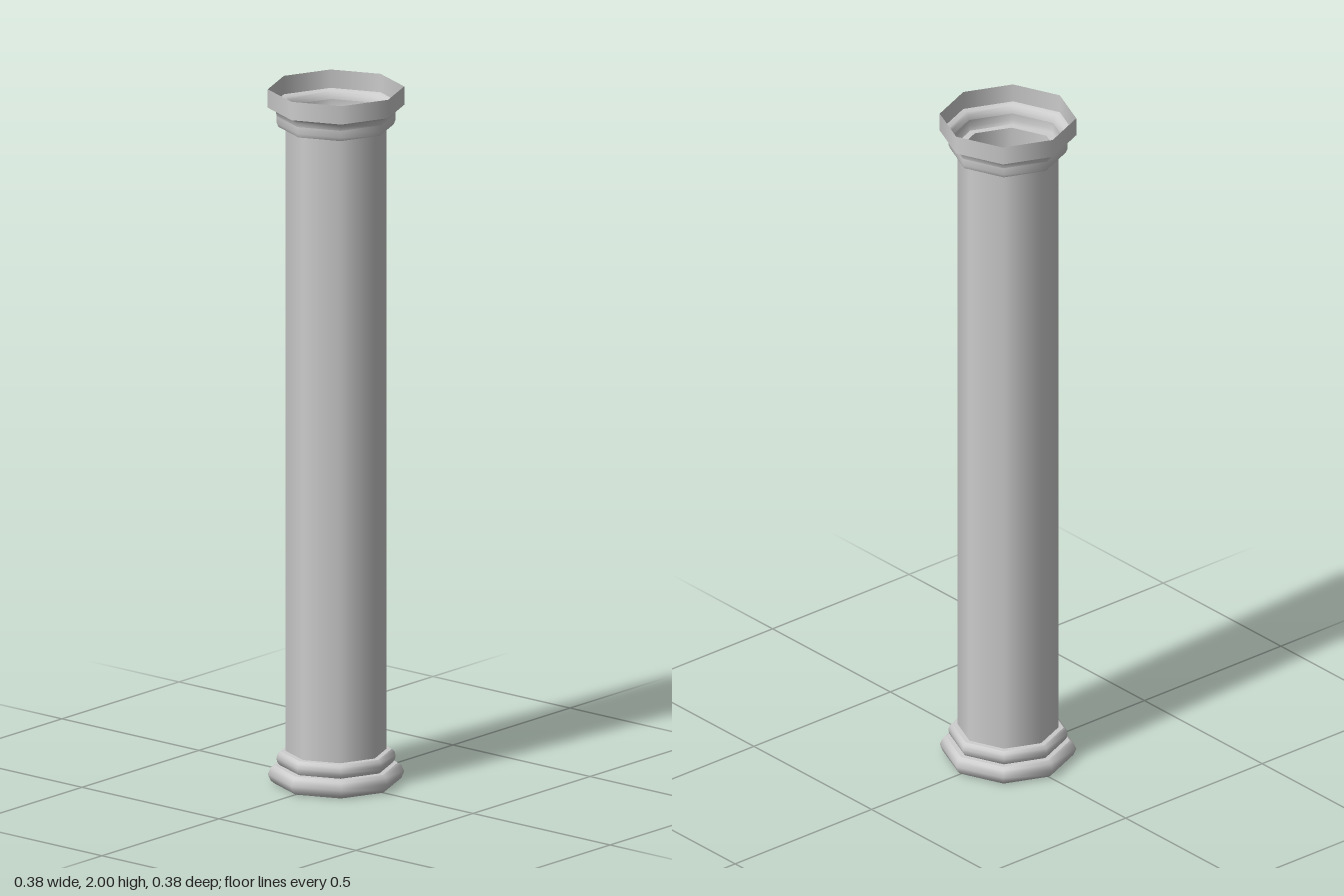
import * as THREE from 'three';

const SIDES = 8;

export function createModel() {
  const column = new THREE.Group();
  column.name = 'column';
  const material = new THREE.MeshStandardMaterial({ color: 0xcccccc, side: THREE.DoubleSide });

  // Open eight-sided ring turned from [radius, height] points, listed bottom to top
  const turn = (name, profile) => {
    const points = profile.map(([r, y]) => new THREE.Vector2(r, y));
    const mesh = new THREE.Mesh(new THREE.LatheGeometry(points, SIDES), material);
    mesh.name = name;
    column.add(mesh);
  };

  // Base: two stacked rounded mouldings with a small ledge above each
  turn('baseLowerMoulding', [[0.172, 0], [0.182, 0.008], [0.19, 0.027], [0.182, 0.045], [0.172, 0.052]]);
  turn('baseLowerLedge', [[0.172, 0.052], [0.158, 0.053]]);
  turn('baseUpperMoulding', [[0.158, 0.053], [0.164, 0.062], [0.166, 0.073], [0.163, 0.085], [0.155, 0.092]]);
  turn('baseUpperLedge', [[0.155, 0.092], [0.141, 0.093]]);

  // Hollow shaft
  turn('shaft', [[0.141, 0.093], [0.141, 1.89]]);

  // Capital: flat underside, neck moulding, flared cove and upright rim, open at the top
  turn('capitalUnderside', [[0.141, 1.89], [0.16, 1.891]]);
  turn('capitalNeck', [[0.16, 1.891], [0.165, 1.902], [0.165, 1.922]]);
  turn('capitalCove', [[0.165, 1.922], [0.168, 1.935], [0.176, 1.943], [0.19, 1.947]]);
  turn('capitalRim', [[0.19, 1.947], [0.19, 2]]);

  return column;
}
